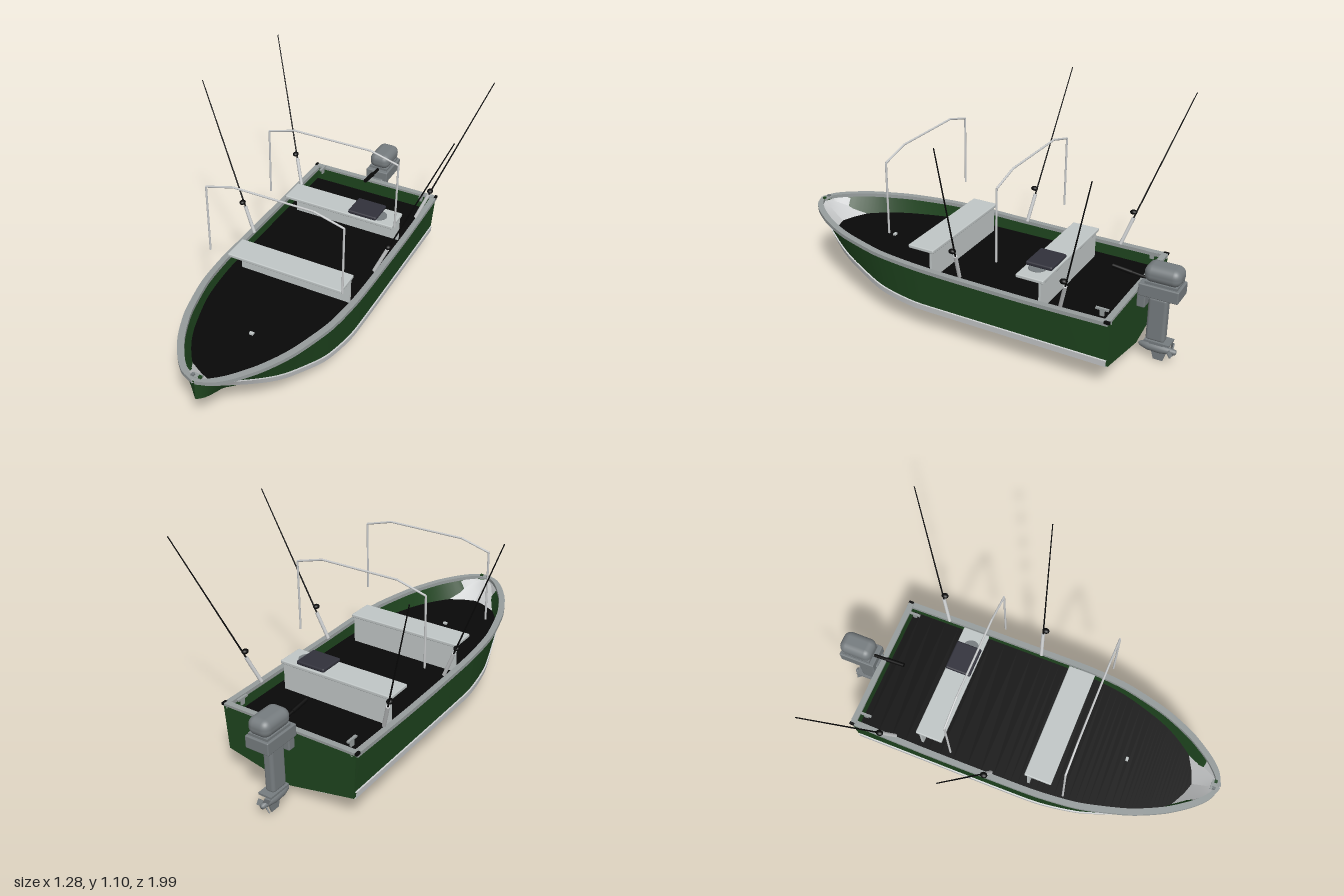
import * as THREE from 'three';
import { toCreasedNormals } from 'three/addons/utils/BufferGeometryUtils.js';
import { RoundedBoxGeometry } from 'three/addons/geometries/RoundedBoxGeometry.js';

const mat = (name, color, side = THREE.FrontSide) => {
  const m = new THREE.MeshStandardMaterial({ color, side });
  m.name = name;
  return m;
};

// Hull stations: z, sheer x, sheer y, chine x, chine y, keel y
const STATIONS = [
  [-0.8, 0.355, 0.35, 0.34, 0.125, 0.055],
  [-0.4, 0.36, 0.347, 0.34, 0.125, 0.055],
  [0, 0.36, 0.35, 0.34, 0.125, 0.055],
  [0.2, 0.357, 0.355, 0.335, 0.125, 0.055],
  [0.4, 0.338, 0.36, 0.305, 0.142, 0.068],
  [0.6, 0.288, 0.367, 0.245, 0.195, 0.12],
  [0.7, 0.25, 0.37, 0.205, 0.23, 0.165],
  [0.8, 0.2, 0.375, 0.15, 0.275, 0.225],
  [0.9, 0.13, 0.379, 0.087, 0.325, 0.3],
  [0.96, 0.068, 0.382, 0.045, 0.355, 0.35],
  [0.99, 0, 0.384, 0, 0.375, 0.375],
];
const FLOOR = 0.275;

// Skin a grid of cross-sections; each section is a list of [x, y, z]
function loft(sections, closed = false, crease = 0) {
  const n = sections[0].length, idx = [];
  for (let i = 0; i < sections.length - 1; i++) {
    for (let j = 0; j < (closed ? n : n - 1); j++) {
      const a = i * n + j, b = i * n + ((j + 1) % n);
      idx.push(a, b, a + n, b, b + n, a + n);
    }
  }
  const g = new THREE.BufferGeometry();
  g.setAttribute('position', new THREE.Float32BufferAttribute(sections.flat(2), 3));
  g.setIndex(idx);
  g.computeVertexNormals();
  return crease ? toCreasedNormals(g, crease) : g;
}

export function createModel() {
  const green = mat('green hull paint', 0x1e441e, THREE.DoubleSide);
  const aluminium = mat('bare aluminium', 0xc8cacb, THREE.DoubleSide);
  const trim = mat('gunwale grey', 0x969c9c, THREE.DoubleSide);
  const benchGrey = mat('bench grey', 0xc0c6c6);
  const black = mat('black', 0x080808, THREE.DoubleSide);
  const cushionMat = mat('cushion slate', 0x31313b);
  const motorGrey = mat('motor grey', 0x767c7f);

  const boat = new THREE.Group();
  boat.name = 'fishingBoat';
  const add = (name, geo, material, parent = boat) => {
    const m = new THREE.Mesh(geo, material);
    m.name = name;
    parent.add(m);
    return m;
  };
  const box = (name, material, w, h, d, x, y, z, parent, r = 0) => {
    const g = r ? new RoundedBoxGeometry(w, h, d, 4, r) : new THREE.BoxGeometry(w, h, d);
    const m = add(name, g, material, parent);
    m.position.set(x, y, z);
    return m;
  };
  // Tapered rod between two points
  const rod = (name, material, a, b, r0, r1, parent, sides = 10) => {
    const p = new THREE.Vector3(...a), q = new THREE.Vector3(...b);
    const m = add(name, new THREE.CylinderGeometry(r1, r0, p.distanceTo(q), sides), material, parent);
    m.position.copy(p).lerp(q, 0.5);
    m.quaternion.setFromUnitVectors(new THREE.Vector3(0, 1, 0), q.sub(p).normalize());
    return m;
  };

  // Smooth hull lines sampled at matching parameters
  const line = (f) => new THREE.CatmullRomCurve3(STATIONS.map((s) => new THREE.Vector3(...f(s))), false, 'catmullrom', 0.4);
  const sheerLine = line((s) => [s[1], s[2], s[0]]);
  const chineLine = line((s) => [s[3], s[4], s[0]]);
  const keelLine = line((s) => [0, s[5], s[0]]);
  const samples = [];
  for (let i = 0; i <= 60; i++) {
    const t = i / 60;
    samples.push({ s: sheerLine.getPoint(t), c: chineLine.getPoint(t), k: keelLine.getPoint(t) });
  }
  const sideX = (p, y) => p.c.x + (p.s.x - p.c.x) * (y - p.c.y) / Math.max(p.s.y - p.c.y, 0.005);
  const linerX = (p) => Math.max(0, p.s.x * 0.45, sideX(p, FLOOR) - 0.006);
  const linerZ = (p) => Math.max(-0.785, p.s.z - 0.003);
  const hull = new THREE.Group();
  hull.name = 'hull';
  boat.add(hull);

  for (const m of [1, -1]) {
    const side = m > 0 ? 'left' : 'right';
    const X = (x) => m * Math.max(0, x);
    add(side + 'HullSide', loft(samples.map(({ s, c }) => [[X(s.x), s.y, s.z], [X(c.x), c.y, c.z]])), green, hull);
    add(side + 'HullBottom', loft(samples.map(({ c, k }) => [
      [X(c.x), c.y, c.z], [X(c.x / 2), (c.y + k.y) / 2 - 0.004, (c.z + k.z) / 2], [0, k.y, k.z]])), aluminium, hull);
    // Spray strip along the chine
    add(side + 'ChineStrip', loft(samples.map((p) => {
      const { s, c } = p, h = Math.min(0.03, s.y - c.y), top = c.y + h, xt = sideX(p, top);
      return [[X(c.x - 0.004), c.y - 0.002, c.z], [X(c.x + 0.007), c.y, c.z + 0.003],
        [X(xt + 0.007), top, c.z + 0.003], [X(xt - 0.004), top + 0.003, c.z]];
    }), true, 0.7), aluminium, hull);
    // Gunwale cap
    add(side + 'Gunwale', loft(samples.map(({ s }) => {
      const a = X(s.x - 0.022), b = X(s.x + 0.007);
      return [[a, s.y - 0.014, s.z - 0.008], [b, s.y - 0.014, s.z + 0.004],
        [b, s.y + 0.004, s.z + 0.004], [a, s.y + 0.004, s.z - 0.008]];
    }), true, 0.7), trim, hull);
    // Inner wall down to the floor
    add(side + 'Liner', loft(samples.map((p) => [[X(p.s.x - 0.01), p.s.y - 0.006, linerZ(p)],
      [X(linerX(p)), FLOOR, linerZ(p)]])), green, hull);
  }
  add('floor', loft(samples.map((p) => [[-linerX(p), FLOOR, linerZ(p)], [linerX(p), FLOOR, linerZ(p)]])), black, hull);

  // Transom with its cap
  const t = new THREE.Shape([[-0.355, 0.35], [-0.34, 0.125], [0, 0.055], [0.34, 0.125], [0.355, 0.35]]
    .map(([x, y]) => new THREE.Vector2(x, y)));
  add('transom', new THREE.ExtrudeGeometry(t, { depth: 0.024, bevelEnabled: false }), green, hull).position.z = -0.803;
  box('transomCap', trim, 0.724, 0.012, 0.028, 0, 0.35, -0.791, hull);
  for (const m of [1, -1]) {
    box('transomCorner', black, 0.012, 0.012, 0.025, m * 0.357, 0.352, -0.794, hull);
    box('cleatPost', trim, 0.01, 0.03, 0.02, m * 0.295, 0.355, -0.745, hull);
    box('cleatBar', trim, 0.012, 0.009, 0.06, m * 0.295, 0.372, -0.745, hull);
  }

  // Benches: plank on a rear panel
  for (const z of [0.17, -0.398]) {
    const bench = new THREE.Group();
    bench.name = 'bench';
    boat.add(bench);
    box('benchTop', benchGrey, 0.604, 0.018, 0.137, 0, 0.421, z, bench, 0.005);
    box('benchPanel', benchGrey, 0.59, 0.14, 0.012, 0, 0.343, z - 0.05, bench);
  }
  box('seatCushion', cushionMat, 0.155, 0.02, 0.132, 0.135, 0.443, -0.398, boat, 0.008);
  const swivel = add('seatSwivelPlate', new THREE.CylinderGeometry(0.042, 0.042, 0.004, 24), motorGrey);
  swivel.position.set(0.205, 0.431, -0.39);
  box('floorFitting', benchGrey, 0.02, 0.01, 0.014, 0, FLOOR + 0.005, 0.53);

  // Canopy hoops
  const hoop = [[-0.345, 0.49], [-0.345, 0.84], [-0.2, 0.88], [0.2, 0.88], [0.345, 0.84], [0.345, 0.49]];
  for (const z of [0.313, -0.257]) {
    const frame = new THREE.Group();
    frame.name = 'canopyHoop';
    boat.add(frame);
    for (let i = 0; i < 5; i++) rod('hoopTube', aluminium, [...hoop[i], z], [...hoop[i + 1], z], 0.005, 0.005, frame);
  }

  // Fishing rods in angled holders
  const rods = [
    { base: [0.333, 0.355, -0.06], tip: [0.64, 1.1, -0.138] },
    { base: [0.335, 0.355, -0.568], tip: [0.597, 1.085, -0.795] },
  ];
  for (const m of [1, -1]) for (const { base, tip } of rods) {
    const set = new THREE.Group();
    set.name = 'rodSet';
    boat.add(set);
    const at = (f) => base.map((v, i) => (v + (tip[i] - v) * f) * (i === 0 ? m : 1));
    rod('rodHolder', aluminium, at(0), at(0.18), 0.009, 0.009, set, 12);
    rod('rodBlank', black, at(0.16), at(1), 0.004, 0.0025, set, 8);
    const [x, y, z] = at(0.215);
    const reel = add('reel', new THREE.SphereGeometry(1, 16, 10), black, set);
    reel.scale.set(0.015, 0.012, 0.018);
    reel.position.set(x - m * 0.002, y, z + 0.013);
  }

  // Bow fittings
  box('bowPlate', trim, 0.05, 0.006, 0.025, 0, 0.386, 0.96);
  box('leftBowLight', green, 0.014, 0.012, 0.014, 0.018, 0.391, 0.965);
  box('rightBowLight', motorGrey, 0.014, 0.012, 0.014, -0.018, 0.391, 0.965);

  // Outboard motor
  const motor = new THREE.Group();
  motor.name = 'outboardMotor';
  boat.add(motor);
  box('cowl', motorGrey, 0.112, 0.082, 0.17, 0, 0.448, -0.911, motor, 0.036);
  box('cowlBase', motorGrey, 0.122, 0.06, 0.185, 0, 0.372, -0.905, motor, 0.005);
  box('cowlSeam', motorGrey, 0.1, 0.016, 0.15, 0, 0.406, -0.911, motor);
  box('clampBracket', motorGrey, 0.08, 0.09, 0.04, 0, 0.315, -0.822, motor, 0.006);
  box('leg', motorGrey, 0.05, 0.225, 0.09, 0, 0.215, -0.895, motor, 0.015);
  box('swivelTube', motorGrey, 0.04, 0.05, 0.06, 0, 0.335, -0.88, motor);
  box('cavitationPlate', motorGrey, 0.07, 0.01, 0.12, 0, 0.104, -0.91, motor);
  box('lowerStrut', motorGrey, 0.026, 0.05, 0.07, 0, 0.085, -0.9, motor, 0.008);
  const gear = add('gearcase', new THREE.LatheGeometry(
    [[0, 0], [0.012, 0.012], [0.022, 0.05], [0.023, 0.11], [0.016, 0.15], [0.012, 0.18], [0, 0.185]]
      .map(([x, y]) => new THREE.Vector2(x, y)), 20), motorGrey, motor);
  gear.rotation.x = -Math.PI / 2;
  gear.position.set(0, 0.062, -0.812);
  const fin = new THREE.Shape([[-0.95, 0.05], [-0.935, 0], [-0.89, 0], [-0.875, 0.05]]
    .map(([z, y]) => new THREE.Vector2(-z, y)));
  const skeg = add('skeg', new THREE.ExtrudeGeometry(fin, { depth: 0.008, bevelEnabled: false }), motorGrey, motor);
  skeg.rotation.y = Math.PI / 2;
  skeg.position.x = -0.004;
  for (let i = 0; i < 3; i++) {
    const pivot = new THREE.Group();
    pivot.name = 'propellerBlade';
    pivot.position.set(0, 0.062, -0.972);
    pivot.rotation.z = 0.5 + i * Math.PI * 2 / 3;
    motor.add(pivot);
    box('blade', motorGrey, 0.026, 0.03, 0.006, 0, 0.025, 0, pivot).rotation.y = 0.6;
  }
  rod('tillerArm', black, [0, 0.403, -0.83], [0, 0.412, -0.75], 0.008, 0.008, motor);
  rod('tillerGrip', black, [0, 0.411, -0.76], [0, 0.422, -0.665], 0.011, 0.01, motor, 14);
  return boat;
}
